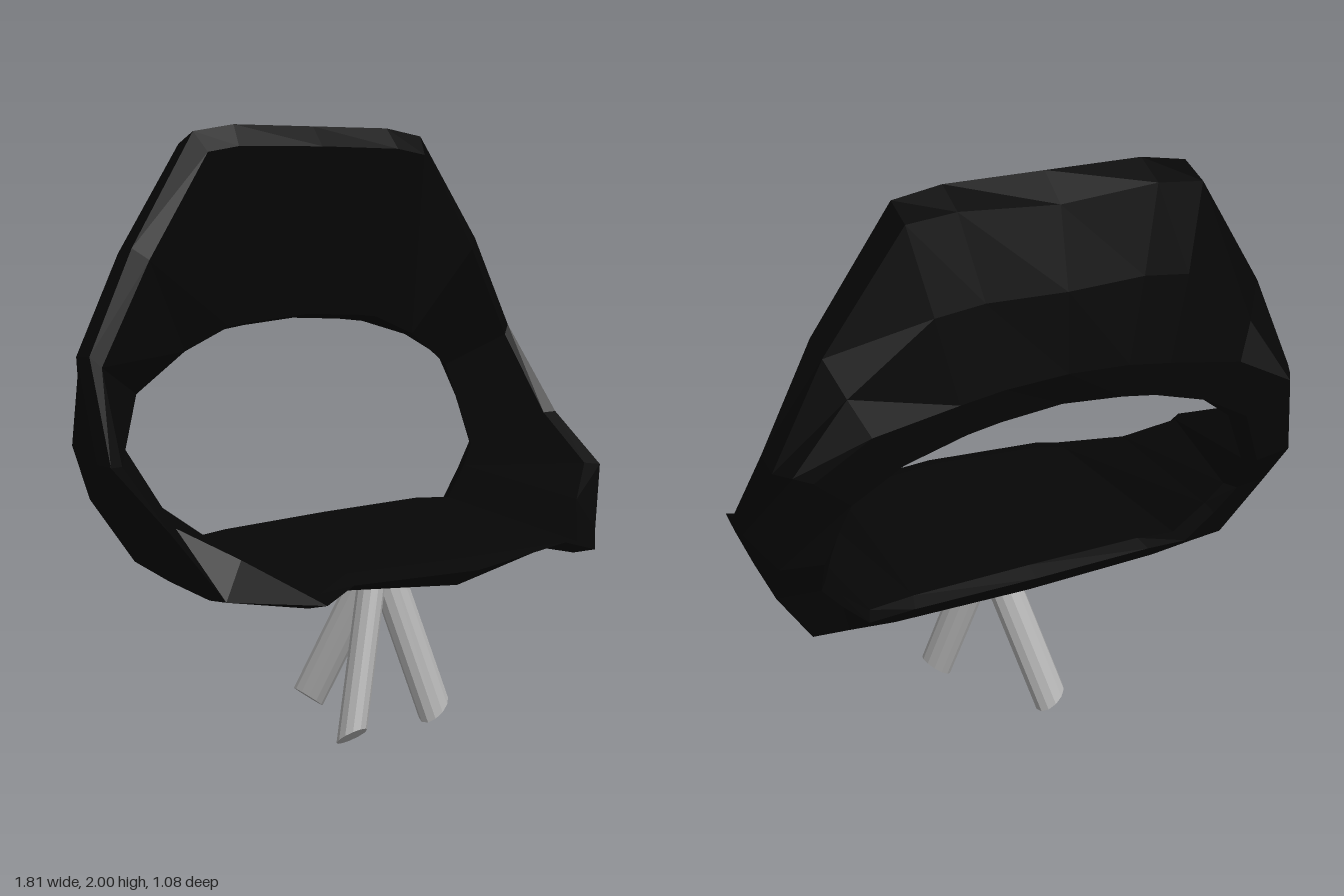
import * as THREE from 'three';

// Guide points of half the shell, from seat centre up one side to back centre:
// front rim, rear edge, outer rear corner
const GUIDES = [
  [[0, .65, .535], [0, .65, -.355], [0, .575, -.3]],
  [[.42, .66, .475], [.42, .65, -.35], [.47, .585, -.3]],
  [[.53, .625, .5], [.57, .64, -.345], [.62, .6, -.3]],
  [[.74, .62, .29], [.66, .74, -.37], [.74, .61, -.3]],
  [[.86, .82, .185], [.73, .83, -.39], [.86, .82, -.36]],
  [[.905, .97, -.1], [.74, .97, -.47], [.87, .98, -.46]],
  [[.86, 1.28, -.325], [.66, 1.16, -.5], [.78, 1.28, -.545]],
  [[.7, 1.61, -.335], [.5, 1.25, -.5], [.6, 1.37, -.525]],
  [[.46, 1.975, -.36], [.31, 1.31, -.51], [.34, 1.42, -.535]],
  [[.31, 2, -.36], [.2, 1.325, -.505], [.2, 1.44, -.535]],
  [[0, 2, -.36], [0, 1.34, -.5], [0, 1.45, -.535]],
];
const CORNER = 3; // row where the seat turns up, with a thicker inner lip

// Seven-sided section: the inner face bulges more with height,
// the outer face bulges most near the centre line
function section(guide, row) {
  const [rim, rear, outer] = guide.map(p => new THREE.Vector3(...p));
  const chord = rear.clone().sub(rim);
  const toInside = rear.clone().sub(outer);
  const inward = toInside.sub(toInside.clone().projectOnVector(chord)).normalize();
  const bulge = (from, to, t, d) => from.clone().lerp(to, t).addScaledVector(inward, d);
  const slim = 1 - rim.x;
  const outerFront = new THREE.Vector3(rim.x, rim.y - .07 * slim, rim.z - .1);
  return [
    rim,
    bulge(rim, rear, .08, row === CORNER ? .12 : .035 * rim.y),
    bulge(rim, rear, .94, .05 * rear.y ** 2),
    rear,
    outer,
    bulge(outer, outerFront, .5, -.02 * slim),
    outerFront,
  ].map(v => v.toArray());
}

// Skin between successive rings of equal point count
function loft(rings, closed) {
  const n = rings[0].length, m = rings.length, index = [];
  for (let s = 0; s < (closed ? m : m - 1); s++) {
    for (let i = 0; i < n; i++) {
      const j = (i + 1) % n, t = (s + 1) % m;
      const a = s * n + i, b = s * n + j, c = t * n + i, d = t * n + j;
      index.push(a, c, b, b, c, d);
    }
  }
  // End caps of an open loft
  if (!closed) {
    const e = (m - 1) * n;
    for (let i = 1; i < n - 1; i++) index.push(0, i, i + 1, e, e + i + 1, e + i);
  }
  const geo = new THREE.BufferGeometry();
  geo.setAttribute('position', new THREE.Float32BufferAttribute(rings.flat(2), 3));
  geo.setIndex(index);
  const flat = geo.toNonIndexed();
  flat.computeVertexNormals();
  return flat;
}

// Leg: a slanted tube whose end cuts face down and towards the angle `turn`
function legGeometry(top, foot, turn) {
  const hx = Math.sin(turn), hz = Math.cos(turn);
  const ring = ([x, y, z]) => Array.from({ length: 12 }, (_, i) => {
    const a = -i / 12 * Math.PI * 2, c = Math.cos(a) * .05, s = Math.sin(a);
    return [x + hz * c + hx * s * .05, y + s * .04, z - hx * c + hz * s * .05];
  });
  return loft([ring(top), ring(foot)], false);
}

export function createModel() {
  const model = new THREE.Group();
  model.name = 'ringChair';
  const black = new THREE.MeshStandardMaterial({ color: 0x060606 });
  black.name = 'black';
  const steel = new THREE.MeshStandardMaterial({ color: 0xb2b2b2 });
  steel.name = 'steel grey';

  // Seat, sides and back as one closed ring
  const half = GUIDES.map(section);
  const mirrored = half.slice(1, -1).reverse()
    .map(ring => ring.map(([x, y, z]) => [-x, y, z]));
  const shell = new THREE.Mesh(loft([...half, ...mirrored], true), black);
  shell.name = 'seatShell';
  model.add(shell);

  // Three splayed legs
  const legs = [
    ['frontRightLeg', [-.03, .6, .04], [-.21, .04, .16], 0],
    ['frontLeftLeg', [.03, .6, -.03], [.16, .04, .12], Math.PI / 2],
    ['backLeg', [.01, .6, .02], [-.13, .04, -.22], -Math.PI / 2],
  ];
  for (const [name, top, foot, turn] of legs) {
    const leg = new THREE.Mesh(legGeometry(top, foot, turn), steel);
    leg.name = name;
    model.add(leg);
  }
  return model;
}
